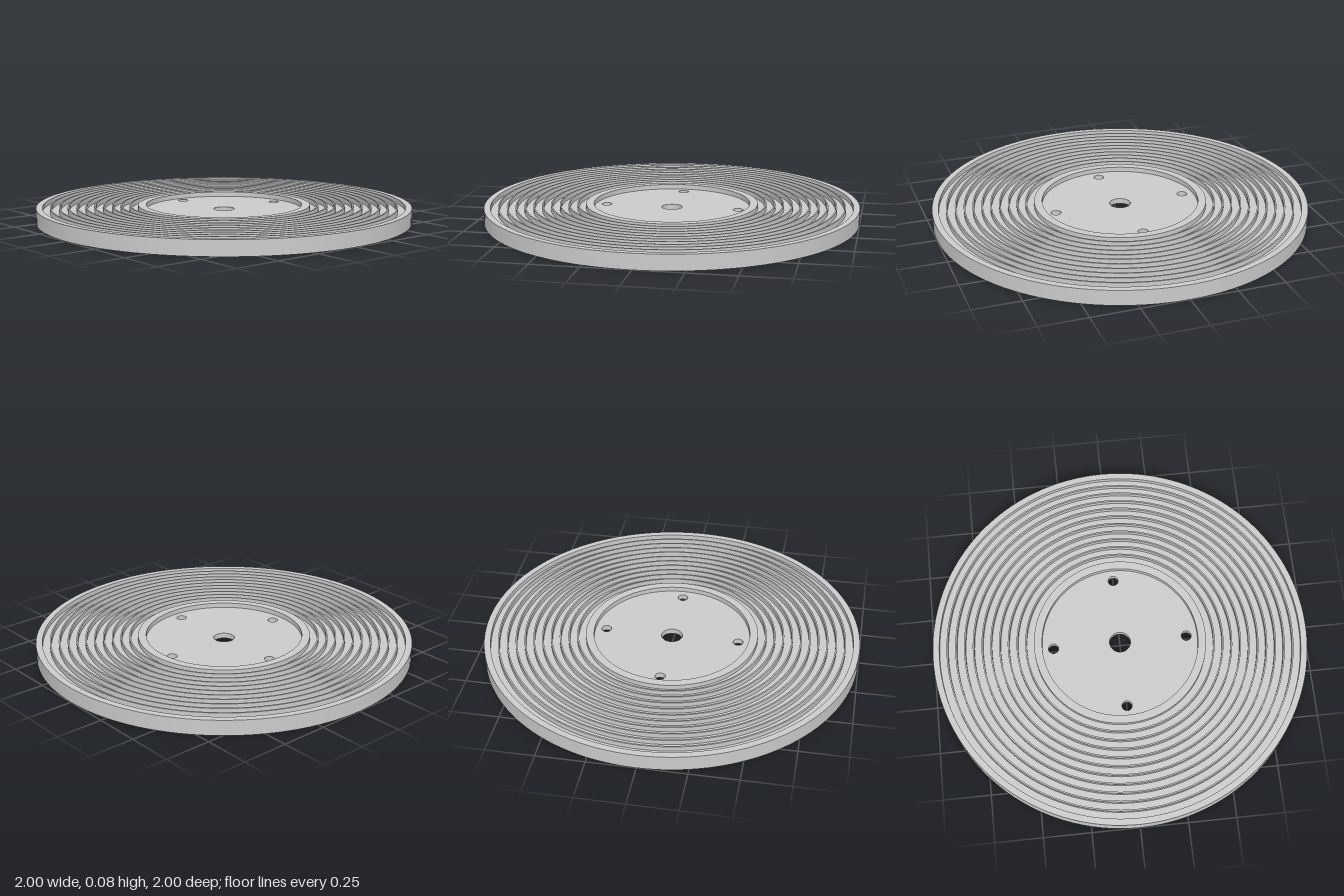
import * as THREE from 'three';
import { toCreasedNormals } from 'three/addons/utils/BufferGeometryUtils.js';

const HEIGHT = 0.081;      // full thickness of rim, fins and hub ring
const RECESS = 0.026;      // groove depth on each side
const HUB_IN = 0.417, HUB_OUT = 0.46, RIM_IN = 0.966, RIM_OUT = 1;
const GROOVES = 11, FIN = 0.008;
const SEGMENTS = 128;

const material = new THREE.MeshStandardMaterial({ color: 0xcccccc, roughness: 0.6 });

function addMesh(group, name, geometry) {
  const mesh = new THREE.Mesh(toCreasedNormals(geometry, Math.PI / 6), material);
  mesh.name = name;
  group.add(mesh);
}

// Stepped [radius, depth] outline of one side, from hub ring to rim
function grooveOutline() {
  const width = (RIM_IN - HUB_OUT - FIN * (GROOVES - 1)) / GROOVES;
  const points = [[HUB_IN, RECESS], [HUB_IN, 0]];
  for (let i = 0; i < GROOVES; i++) {
    const a = HUB_OUT + i * (width + FIN), b = a + width;
    points.push([a, 0], [a, RECESS], [b, RECESS], [b, 0]);
  }
  points.push([RIM_OUT, 0]);
  return points;
}

function hole(x, y, radius) {
  return new THREE.Path().absarc(x, y, radius, 0, Math.PI * 2, true);
}

export function createModel() {
  const group = new THREE.Group();
  group.name = 'groovedDisc';

  // Rim, concentric fins and hub ring, mirrored on the top and underside
  const outline = grooveOutline();
  const bottom = outline.map(([r, d]) => new THREE.Vector2(r, d));
  const top = outline.map(([r, d]) => new THREE.Vector2(r, HEIGHT - d)).reverse();
  addMesh(group, 'groovedRing', new THREE.LatheGeometry([...bottom, ...top], SEGMENTS));

  // Recessed centre plate with a spindle hole and four bolt holes
  const plate = new THREE.Shape().absarc(0, 0, HUB_IN, 0, Math.PI * 2, false);
  plate.holes.push(hole(0, 0, 0.056));
  for (let i = 0; i < 4; i++) {
    const a = i * Math.PI / 2;
    plate.holes.push(hole(0.358 * Math.cos(a), 0.358 * Math.sin(a), 0.027));
  }
  const plateGeometry = new THREE.ExtrudeGeometry(plate, {
    depth: HEIGHT - 2 * RECESS, bevelEnabled: false, curveSegments: SEGMENTS / 2,
  });
  plateGeometry.rotateX(-Math.PI / 2).translate(0, RECESS, 0);
  addMesh(group, 'centrePlate', plateGeometry);

  return group;
}
